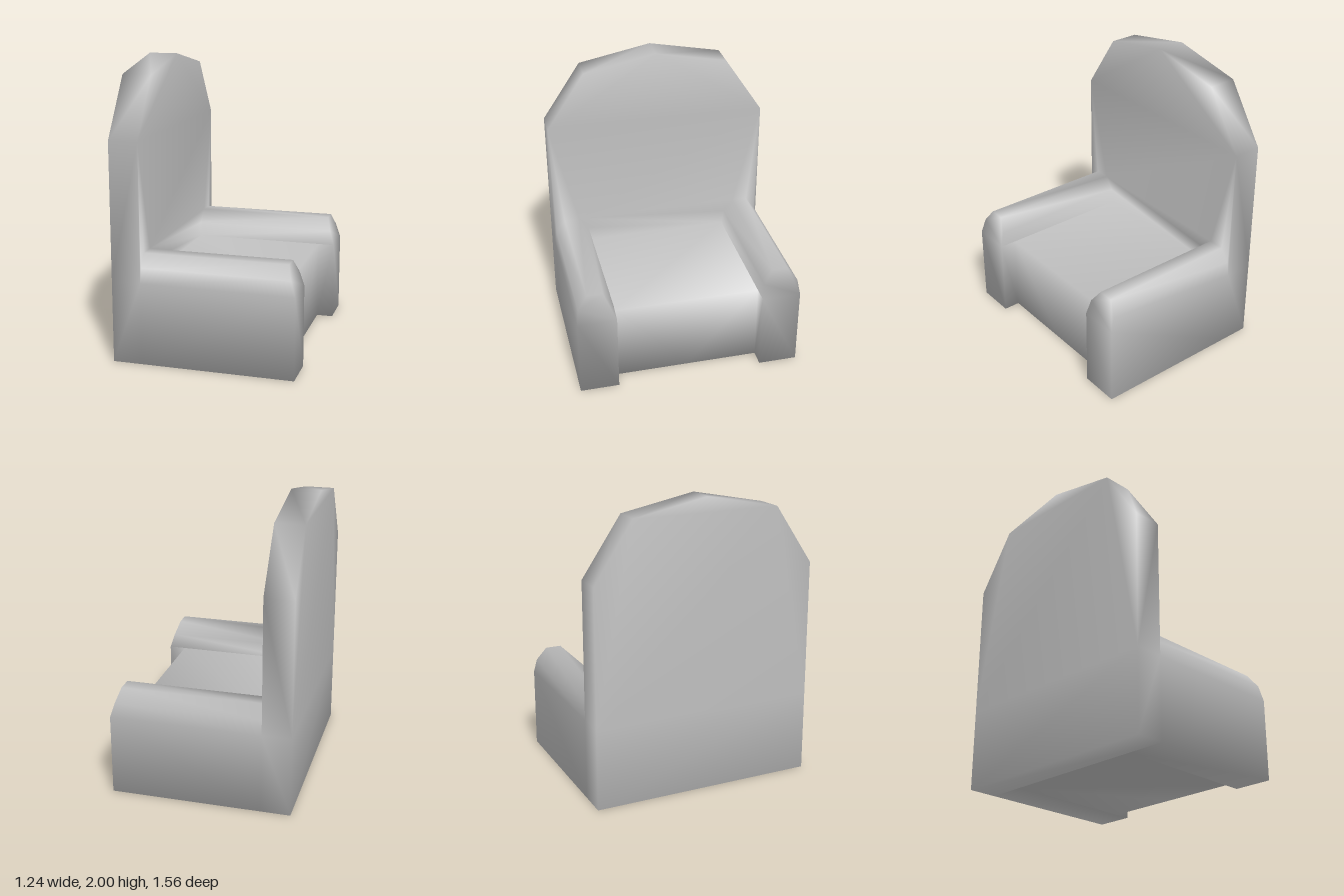
import * as THREE from 'three';

// Main sizes: the chair faces +x
const REAR = -0.62, BACK = -0.42, SEAT = 0.505, FRONT = 0.62;
const OUT = 0.78, IN = 0.51, SEAT_Y = 0.56, ARM_Y = 0.75;

const V = (x, y, z) => new THREE.Vector3(x, y, z);

// Triangulates a flat polygon and turns every triangle toward the outward direction
function face(tris, pts, outward) {
  const drop = ['x', 'y', 'z'].reduce((a, b) => (Math.abs(outward[b]) > Math.abs(outward[a]) ? b : a));
  const [u, v] = ['x', 'y', 'z'].filter((k) => k !== drop);
  const flat = pts.map((p) => new THREE.Vector2(p[u], p[v]));
  for (const ids of THREE.ShapeUtils.triangulateShape(flat, [])) {
    const t = ids.map((i) => pts[i]);
    const n = t[1].clone().sub(t[0]).cross(t[2].clone().sub(t[0]));
    if (n.dot(outward) < 0) t.reverse();
    tris.push(t);
  }
}

// Builds the meshes with normals shared across neighbouring parts, for a soft upholstered look
function smoothMeshes(parts, material) {
  const sums = new Map();
  const key = (p) => [p.x, p.y, p.z].map((c) => Math.round(c * 1000)).join();
  for (const { tris } of parts) {
    for (const t of tris) {
      const n = t[1].clone().sub(t[0]).cross(t[2].clone().sub(t[0]));
      for (const p of t) sums.set(key(p), (sums.get(key(p)) || V(0, 0, 0)).add(n));
    }
  }
  sums.forEach((n) => n.normalize());
  return parts.map(({ name, tris }) => {
    const corners = tris.flat();
    const geo = new THREE.BufferGeometry();
    geo.setAttribute('position', new THREE.Float32BufferAttribute(corners.flatMap((p) => p.toArray()), 3));
    geo.setAttribute('normal', new THREE.Float32BufferAttribute(corners.flatMap((p) => sums.get(key(p)).toArray()), 3));
    const mesh = new THREE.Mesh(geo, material);
    mesh.name = name;
    return mesh;
  });
}

export function createModel() {
  const group = new THREE.Group();
  group.name = 'armchair';
  const upholstery = new THREE.MeshStandardMaterial({ color: 0xbfbfbf });
  upholstery.name = 'grey upholstery';

  // Arm cross-section as [z, y], from the outer side over the top to the seat
  const armTop = [[OUT, SEAT_Y], [0.765, 0.66], [0.70, ARM_Y], [0.59, ARM_Y], [0.525, 0.66], [IN, SEAT_Y]];
  // The arm front leans back above seat height
  const armFront = (y) => FRONT - 0.06 * Math.max(0, (y - SEAT_Y) / (ARM_Y - SEAT_Y));

  // Backrest: crown outline, rear, front above the seat and arms, rim, underside
  const back = [];
  const crown = [[OUT, SEAT_Y], [OUT, 1.5], [IN, 1.9], [0, 2], [-IN, 1.9], [-OUT, 1.5], [-OUT, SEAT_Y]];
  const at = (x, list) => list.map(([z, y]) => V(x, y, z));
  const outline = [[OUT, 0], ...crown, [-OUT, 0]];
  const mirrored = armTop.map(([z, y]) => [-z, y]);
  face(back, at(REAR, outline), V(-1, 0, 0));
  face(back, at(BACK, [...crown, ...mirrored.slice(1), ...armTop.slice(1).reverse()]), V(1, 0, 0));
  outline.forEach(([z, y], i) => {
    const [z2, y2] = outline[(i + 1) % outline.length];
    face(back, [V(REAR, y, z), V(BACK, y, z), V(BACK, y2, z2), V(REAR, y2, z2)], V(0, z - z2, y2 - y));
  });

  // Seat: top, front panel fanned from the middle of its lower edge, underside
  const seat = [];
  face(seat, [V(BACK, SEAT_Y, IN), V(SEAT, SEAT_Y, IN), V(SEAT, SEAT_Y, -IN), V(BACK, SEAT_Y, -IN)], V(0, 1, 0));
  const mid = V(SEAT, 0, 0);
  const fan = [V(SEAT, 0, IN), V(SEAT, SEAT_Y, IN), V(SEAT, SEAT_Y, -IN), V(SEAT, 0, -IN)];
  for (let i = 0; i < 3; i++) face(seat, [mid, fan[i], fan[i + 1]], V(1, 0, 0));
  face(seat, [V(BACK, 0, IN), fan[0], mid, fan[3], V(BACK, 0, -IN)], V(0, -1, 0));

  // Arms: outer side, rounded top, leaning front, inner side beyond the seat, underside
  const arms = [1, -1].map((s) => {
    const tris = [];
    const p = (x, y, z) => V(x, y, z * s);
    const side = [p(BACK, 0, OUT), p(FRONT, 0, OUT), p(FRONT, SEAT_Y, OUT), p(BACK, SEAT_Y, OUT)];
    face(tris, side, V(0, 0, s));
    for (let i = 0; i < armTop.length - 1; i++) {
      const [z, y] = armTop[i], [z2, y2] = armTop[i + 1];
      const strip = [p(BACK, y, z), p(armFront(y), y, z), p(armFront(y2), y2, z2), p(BACK, y2, z2)];
      face(tris, strip, V(0, z - z2, (y2 - y) * s));
    }
    face(tris, armTop.map(([z, y]) => p(armFront(y), y, z)), V(1, 0, 0));
    face(tris, [p(FRONT, 0, OUT), p(FRONT, SEAT_Y, OUT), p(FRONT, SEAT_Y, IN), p(FRONT, 0, IN)], V(1, 0, 0));
    face(tris, [p(SEAT, 0, IN), p(FRONT, 0, IN), p(FRONT, SEAT_Y, IN), p(SEAT, SEAT_Y, IN)], V(0, 0, -s));
    face(tris, [p(BACK, 0, OUT), p(FRONT, 0, OUT), p(FRONT, 0, IN), p(BACK, 0, IN)], V(0, -1, 0));
    return { name: s > 0 ? 'armPositiveZ' : 'armNegativeZ', tris };
  });

  group.add(...smoothMeshes([{ name: 'backrest', tris: back }, { name: 'seat', tris: seat }, ...arms], upholstery));
  return group;
}
